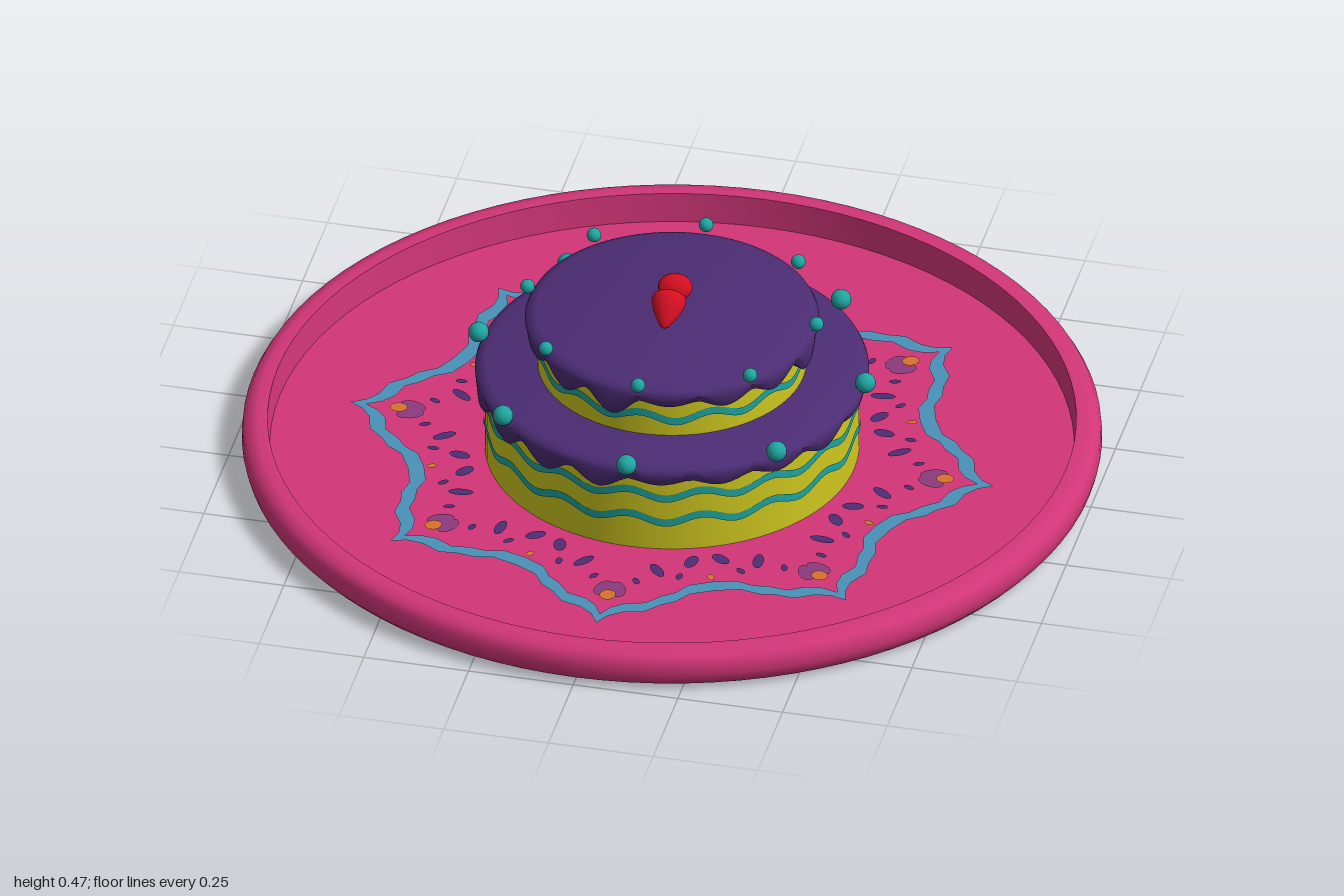
import * as THREE from 'three';
import { toCreasedNormals } from 'three/addons/utils/BufferGeometryUtils.js';

const TAU = Math.PI * 2, DEG = Math.PI / 180;

function material(name, color) {
  const m = new THREE.MeshStandardMaterial({ color });
  m.name = name;
  return m;
}

function add(parent, name, geometry, mat) {
  const mesh = new THREE.Mesh(geometry, mat);
  mesh.name = name;
  parent.add(mesh);
  return mesh;
}

function lathe(points, segments) {
  return new THREE.LatheGeometry(points.map(([x, y]) => new THREE.Vector2(x, y)), segments);
}

// Small seeded generator for the drip lengths
function seeded(seed) {
  return () => (seed = (seed * 16807) % 2147483647) / 2147483647;
}

// Icing cap whose lower lip hangs down in uneven drips
function icingGeometry(radius, top, drips, maxDrop, seed) {
  const rand = seeded(seed);
  const lengths = Array.from({ length: drips }, () => maxDrop * (0.25 + 0.75 * rand()));
  const geo = lathe([
    [radius - 0.032, 0], [radius - 0.012, -0.004], [radius - 0.003, 0.012],
    [radius, top - 0.018], [radius - 0.006, top - 0.006], [radius - 0.025, top], [0, top],
  ], 160);
  const p = geo.attributes.position;
  for (let i = 0; i < p.count; i++) {
    if (i % 7 > 2) continue;
    const t = ((Math.atan2(p.getX(i), p.getZ(i)) / TAU + 1) % 1) * drips;
    const k = Math.floor(t) % drips;
    const drop = 0.034 + lengths[k] * Math.pow(Math.sin(Math.PI * (t % 1)), 1.4);
    p.setY(i, p.getY(i) + top - drop);
  }
  geo.computeVertexNormals();
  return toCreasedNormals(geo, 1.0);
}

// Thin wavy ribbon wrapped round a tier
function waveGeometry(radius, y, waves, amplitude, width) {
  const geo = new THREE.CylinderGeometry(radius, radius, width, 192, 1, true);
  const p = geo.attributes.position;
  for (let i = 0; i < p.count; i++) {
    const a = Math.atan2(p.getX(i), p.getZ(i));
    p.setY(i, p.getY(i) + y + amplitude * Math.cos(waves * a));
  }
  return geo;
}

// Outline of the eight-pointed scalloped star: [degrees from tip, radius]
const STAR = [[0, 0.768], [1.5, 0.735], [4, 0.713], [8, 0.705], [11, 0.675],
  [14, 0.66], [17, 0.63], [22.5, 0.622]];

function starPoints(inset) {
  const half = STAR.map(([a, r]) => [a, r - inset]);
  const back = half.slice(1, -1).reverse().map(([a, r]) => [45 - a, r]);
  // the mirrored half leads from the valley to the next tip
  const cell = [...half, ...back];
  const pts = [];
  for (let k = 0; k < 8; k++) {
    for (const [a, r] of cell) {
      const t = (a + k * 45) * DEG;
      pts.push(new THREE.Vector2(Math.cos(t) * r, Math.sin(t) * r));
    }
  }
  return pts;
}

export function createModel() {
  const pink = material('plate pink', 0xd23678);
  const purple = material('icing purple', 0x4c2c74);
  const yellow = material('cake yellow', 0xcfc81f);
  const teal = material('bead teal', 0x1ea5a0);
  const red = material('berry red', 0xd80f22);
  const blue = material('pattern blue', 0x4a92b8);
  const orange = material('pattern orange', 0xd8702c);
  const plum = material('pattern plum', 0x8c3a7c);

  const model = new THREE.Group();
  model.name = 'cakeOnPlate';

  // Plate with a raised rim and a sunken floor
  const plate = lathe([
    [0, 0], [0.95, 0], [0.98, 0.008], [0.995, 0.025], [1, 0.045], [0.998, 0.07],
    [0.988, 0.088], [0.965, 0.095], [0.94, 0.095], [0.935, 0.02], [0, 0.02],
  ], 96);
  add(model, 'plate', toCreasedNormals(plate, 0.8), pink);

  // Painted pattern on the plate floor
  const pattern = new THREE.Group();
  pattern.name = 'platePattern';
  model.add(pattern);
  const star = new THREE.Shape(starPoints(0));
  star.holes.push(new THREE.Path(starPoints(0.038)));
  add(pattern, 'starBorder', new THREE.ShapeGeometry(star).rotateX(-Math.PI / 2).translate(0, 0.023, 0), blue);

  function spot(name, mat, radius, angle, halfLength, halfWidth, turn = 0, y = 0.023) {
    const geo = new THREE.CircleGeometry(1, 12).rotateX(-Math.PI / 2)
      .scale(halfWidth, 1, halfLength).rotateY(turn)
      .translate(0, y, radius).rotateY(angle);
    add(pattern, name, geo, mat);
  }
  for (let k = 0; k < 8; k++) {
    const a = k * 45 * DEG;
    spot('orangeDot', orange, 0.652, a, 0.021, 0.019, 0, 0.026);
    spot('smallOrangeDot', orange, 0.565, a + 22.5 * DEG, 0.013, 0.008);
    for (const s of [-1, 1]) {
      spot('plumPetal', plum, 0.622, a + s * 1.5 * DEG, 0.033, 0.02, s * 0.3);
      spot('darkLeaf', purple, 0.53, a + s * 9.5 * DEG, 0.03, 0.013, s * 0.5);
      spot('darkLeaf', purple, 0.495, a + s * 18.5 * DEG, 0.026, 0.015, -s * 0.5);
      spot('darkSpeck', purple, 0.58, a + s * 5 * DEG, 0.014, 0.008, s * 0.4);
      spot('darkSpeck', purple, 0.555, a + s * 15 * DEG, 0.014, 0.008, -s * 0.3);
    }
  }

  // Two tiers, each with sponge, wavy ribbons, dripping icing and beads
  const tiers = [
    { name: 'lowerTier', r: 0.435, bottom: 0.02, top: 0.256, icing: 0.458, drips: 19, drop: 0.055, seed: 77,
      waves: 16, ribbons: [0.105, 0.172], bead: 0.024, beadR: 0.462, beadY: 0.265 },
    { name: 'upperTier', r: 0.313, bottom: 0.24, top: 0.397, icing: 0.342, drips: 15, drop: 0.05, seed: 1234,
      waves: 12, ribbons: [0.307], bead: 0.017, beadR: 0.345, beadY: 0.411 },
  ];
  for (const t of tiers) {
    const tier = new THREE.Group();
    tier.name = t.name;
    model.add(tier);
    const height = t.top - 0.01 - t.bottom;
    add(tier, 'sponge', new THREE.CylinderGeometry(t.r, t.r, height, 96)
      .translate(0, t.bottom + height / 2, 0), yellow);
    for (const y of t.ribbons) {
      add(tier, 'waveRibbon', waveGeometry(t.r + 0.003, y, t.waves, 0.011, 0.02), teal);
    }
    add(tier, 'icing', icingGeometry(t.icing, t.top, t.drips, t.drop, t.seed), purple);
    for (let k = 0; k < 8; k++) {
      const bead = add(tier, 'bead', new THREE.SphereGeometry(t.bead, 20, 14), teal);
      bead.position.set(Math.sin(k * TAU / 8) * t.beadR, t.beadY, Math.cos(k * TAU / 8) * t.beadR);
    }
  }

  // Pair of berries leaning together, tips pointing out and down
  const berry = lathe([
    [0, -0.052], [0.011, -0.046], [0.022, -0.03], [0.034, -0.008], [0.041, 0.014],
    [0.037, 0.03], [0.023, 0.039], [0, 0.041],
  ], 28).scale(1, 1, 0.8);
  for (const s of [-1, 1]) {
    const mesh = add(model, s > 0 ? 'frontBerry' : 'backBerry', berry, red);
    mesh.position.set(0, 0.432, s * 0.043);
    mesh.rotation.x = -s * 52 * DEG;
  }
  return model;
}
